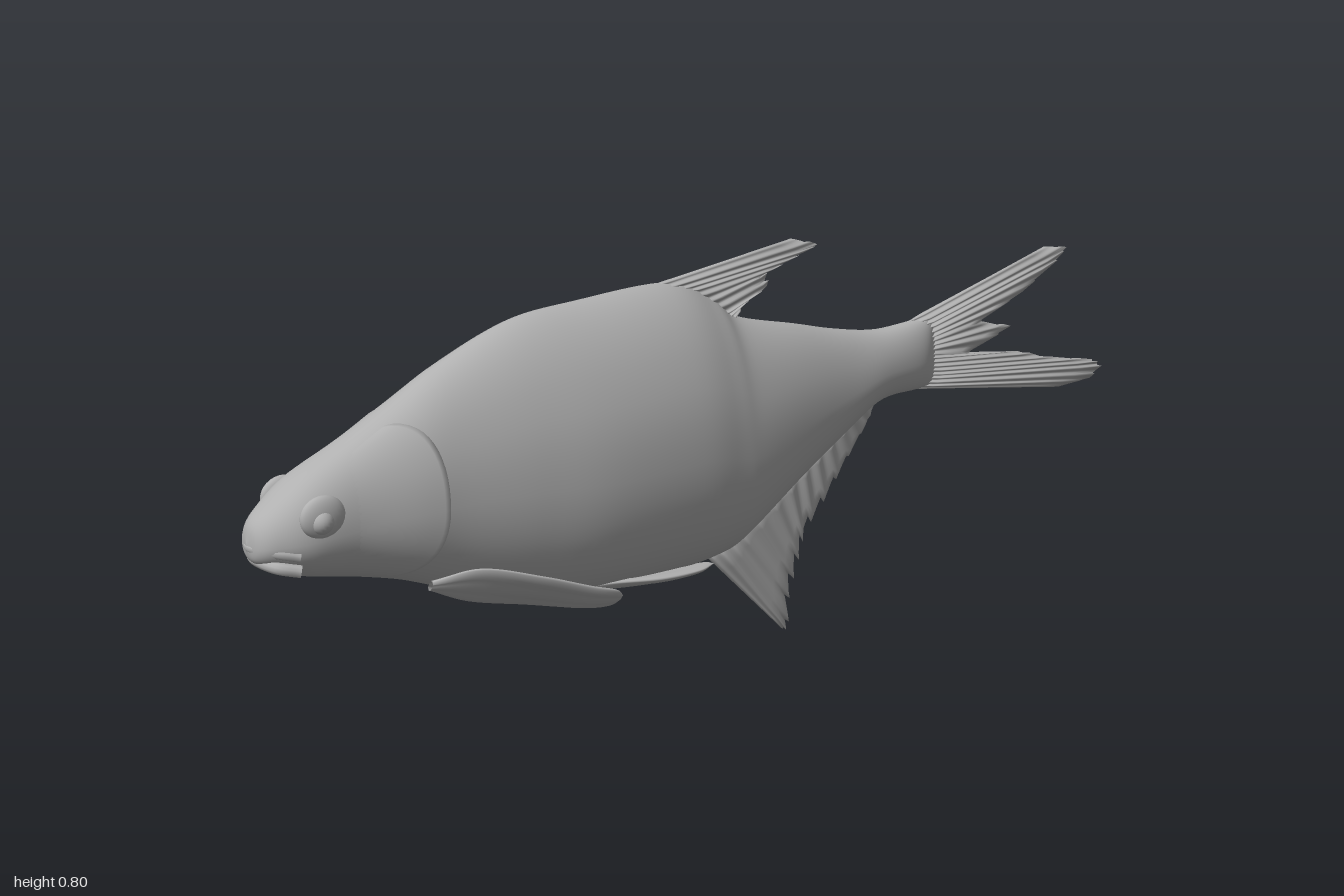
import * as THREE from 'three';

const grey = new THREE.MeshStandardMaterial({ color: 0xb0b0b0, side: THREE.DoubleSide });
grey.name = 'grey';

// Surface from fn(u, v); wrapV closes each cross-section into a loop
function grid(nu, nv, wrapV, fn) {
  const pos = [], idx = [], cols = wrapV ? nv : nv + 1;
  for (let i = 0; i <= nu; i++) {
    for (let j = 0; j < cols; j++) pos.push(...fn(i / nu, j / nv));
  }
  for (let i = 0; i < nu; i++) {
    for (let j = 0; j < nv; j++) {
      const k = (j + 1) % cols;
      const a = i * cols + j, b = i * cols + k, c = a + cols, d = b + cols;
      idx.push(a, b, c, b, d, c);
    }
  }
  const g = new THREE.BufferGeometry();
  g.setAttribute('position', new THREE.Float32BufferAttribute(pos, 3));
  g.setIndex(idx);
  g.computeVertexNormals();
  return g;
}

// Body stations: x, top, bottom, half width, sharpness of the back
const stations = [
  [-1, 0.4, 0.39, 0, 1], [-0.99, 0.435, 0.365, 0.035, 0.9], [-0.96, 0.465, 0.35, 0.06, 0.85],
  [-0.9, 0.51, 0.325, 0.082, 0.85], [-0.8, 0.56, 0.305, 0.088, 0.9], [-0.7, 0.615, 0.28, 0.1, 1],
  [-0.6, 0.672, 0.245, 0.107, 1.1], [-0.45, 0.733, 0.205, 0.128, 1.25], [-0.3, 0.75, 0.185, 0.143, 1.3],
  [-0.1, 0.758, 0.188, 0.137, 1.35], [0, 0.715, 0.2, 0.122, 1.3], [0.06, 0.67, 0.225, 0.11, 1.2],
  [0.2, 0.635, 0.32, 0.076, 1.1], [0.3, 0.61, 0.385, 0.057, 1], [0.4, 0.594, 0.447, 0.047, 1],
  [0.5, 0.6, 0.456, 0.034, 1], [0.54, 0.6, 0.46, 0.014, 1], [0.55, 0.56, 0.49, 0, 1],
];
const spline = (f) => new THREE.CatmullRomCurve3(stations.map(f), false, 'catmullrom', 0.5);
const profile = spline((s) => new THREE.Vector3(s[0], s[1], s[2]));
const girth = spline((s) => new THREE.Vector3(s[0], s[3], s[4]));

// Point on the body skin; angle runs from the back (0) to the belly (PI) on +z
function skin(t, angle) {
  const { x, y: top, z: bottom } = profile.getPoint(t);
  const { y: w, z: p } = girth.getPoint(t);
  const mid = bottom + 0.43 * (top - bottom);
  const c = Math.cos(angle), s = Math.sin(angle);
  const power = c > 0 ? 0.9 + (p - 0.9) * Math.min(1, c * 2) : 0.9;
  return [x, mid + c * (c > 0 ? top - mid : mid - bottom),
    Math.max(0, w) * Math.sign(s) * Math.abs(s) ** power];
}

function tAtX(x) {
  let lo = 0, hi = 1;
  for (let i = 0; i < 30; i++) {
    const m = (lo + hi) / 2;
    if (profile.getPoint(m).x < x) lo = m; else hi = m;
  }
  return lo;
}

// Straight interpolation along a list of points
function along(points, u) {
  const f = u * (points.length - 1), i = Math.min(Math.floor(f), points.length - 2);
  return points[i].map((a, k) => a + (points[i + 1][k] - a) * (f - i));
}

// Upright fin: rays run from a base line to a ragged tip line
function medianFin(base, tip, thick, rays, jag) {
  return grid(rays * 8, 16, true, (u, v) => {
    const s = 1 - Math.abs(2 * v - 1), side = v < 0.5 ? -1 : 1;
    const saw = (u * rays) % 1;
    const reach = s * (1 - jag * saw * Math.sin(Math.PI * u));
    const a = along(base, u), b = along(tip, u);
    const ridge = 0.8 + 0.25 * Math.cos(u * rays * Math.PI * 2);
    const edge = Math.min(1, 12 * u, 12 * (1 - u));
    const half = s === 0 || s === 1 ? 0 : thick * (1 - 0.65 * s) * ridge * Math.sqrt(edge);
    return [a[0] + (b[0] - a[0]) * reach, a[1] + (b[1] - a[1]) * reach, side * half];
  });
}

// Paired fin: lens-shaped sections between an upper and a lower edge
function pairedFin(sections, thick, sign) {
  const curve = (k) => new THREE.CatmullRomCurve3(
    sections.map((s) => new THREE.Vector3(s[0], s[k], s[k + 1])), false, 'catmullrom', 0.5);
  const upper = curve(1), lower = curve(3);
  return grid(40, 24, true, (u, v) => {
    const a = upper.getPoint(u), b = lower.getPoint(u), ang = v * Math.PI * 2;
    const dy = a.y - b.y, dz = a.z - b.z, len = Math.hypot(dy, dz) || 1;
    const m = 0.5 + 0.5 * Math.cos(ang);
    const h = Math.sin(ang) * thick * Math.sqrt(Math.sin(Math.PI * Math.min(1, 0.08 + u * 0.92)))
      * (1 + 0.15 * Math.cos(ang * 8));
    return [a.x, b.y + dy * m - (dz / len) * h, sign * (b.z + dz * m + (dy / len) * h)];
  });
}

// Raised gill plate that ends in a curved lip
function gillCover(sign) {
  const front = -0.87;
  return grid(24, 28, false, (u, v) => {
    const angle = 0.35 + v * 2.4;
    const back = -0.645 - 0.1 * Math.abs(2 * v - 0.95) ** 2.2;
    const p = skin(tAtX(front + (back - front) * Math.min(1, u * 1.04)), angle);
    const lift = u === 1 ? -0.012 : 0.017 * u * u * Math.sin(Math.PI * v) ** 0.5 - 0.001;
    return [p[0], p[1] + lift * 0.5 * Math.cos(angle), sign * (p[2] + lift * Math.sin(angle))];
  });
}

export function createModel() {
  const fish = new THREE.Group();
  fish.name = 'fish';
  const add = (name, geometry) => {
    const mesh = new THREE.Mesh(geometry, grey);
    mesh.name = name;
    fish.add(mesh);
    return mesh;
  };

  add('body', grid(110, 56, true, (u, v) => skin(u, v * Math.PI * 2)));

  // Fins on the centre line
  add('dorsalFin', medianFin(
    [[-0.16, 0.752], [-0.06, 0.73], [0.02, 0.68], [0.05, 0.655]],
    [[0.19, 0.806], [0.265, 0.787], [0.2, 0.765], [0.135, 0.745], [0.14, 0.72], [0.08, 0.695], [0.06, 0.663]],
    0.017, 10, 0.08));
  add('tailFin', medianFin(
    [[0.47, 0.596], [0.5, 0.56], [0.51, 0.53], [0.5, 0.49], [0.47, 0.46]],
    [[0.83, 0.708], [0.895, 0.7], [0.87, 0.675], [0.78, 0.62], [0.67, 0.573], [0.755, 0.552], [0.64, 0.51],
      [0.775, 0.495], [0.85, 0.472], [0.98, 0.447], [1, 0.43], [0.97, 0.408], [0.88, 0.402]],
    0.02, 18, 0.05));
  add('analFin', medianFin(
    [[-0.02, 0.205], [0.06, 0.25], [0.2, 0.34], [0.3, 0.4], [0.4, 0.46]],
    [[0.175, 0.008], [0.192, 0], [0.195, 0.08], [0.215, 0.14], [0.23, 0.2], [0.28, 0.26], [0.33, 0.33],
      [0.38, 0.4], [0.4, 0.44]],
    0.015, 13, 0.16));

  // Lips around the mouth
  for (const [name, y, reach, r] of [['upperLip', 0.392, -0.99, 0.011], ['lowerLip', 0.364, -0.976, 0.012]]) {
    const path = new THREE.CatmullRomCurve3([
      new THREE.Vector3(-0.925, y - 0.012, 0.066), new THREE.Vector3(-0.962, y - 0.004, 0.047),
      new THREE.Vector3(reach, y, 0),
      new THREE.Vector3(-0.962, y - 0.004, -0.047), new THREE.Vector3(-0.925, y - 0.012, -0.066),
    ]);
    add(name, new THREE.TubeGeometry(path, 30, r, 10));
  }

  for (const [side, sign] of [['left', 1], ['right', -1]]) {
    add(side + 'GillCover', gillCover(sign));

    const socket = add(side + 'EyeSocket', new THREE.SphereGeometry(1, 24, 16));
    socket.scale.set(0.045, 0.04, 0.018);
    socket.position.set(-0.885, 0.45, sign * 0.077);
    const eye = add(side + 'Eye', new THREE.SphereGeometry(0.024, 20, 14));
    eye.position.set(-0.89, 0.443, sign * 0.08);

    // x, upper edge y and z, lower edge y and z
    add(side + 'PectoralFin', pairedFin([
      [-0.67, 0.29, 0.085, 0.27, 0.07], [-0.59, 0.312, 0.13, 0.235, 0.075], [-0.48, 0.285, 0.163, 0.213, 0.092],
      [-0.38, 0.25, 0.174, 0.195, 0.118], [-0.325, 0.232, 0.172, 0.194, 0.135], [-0.305, 0.215, 0.16, 0.21, 0.152],
    ], 0.012, sign));
    add(side + 'PelvicFin', pairedFin([
      [-0.36, 0.205, 0.045, 0.195, 0.03], [-0.27, 0.207, 0.07, 0.19, 0.025], [-0.17, 0.202, 0.09, 0.187, 0.02],
      [-0.08, 0.2, 0.085, 0.188, 0.02], [-0.03, 0.2, 0.06, 0.195, 0.035],
    ], 0.009, sign));
  }
  return fish;
}
